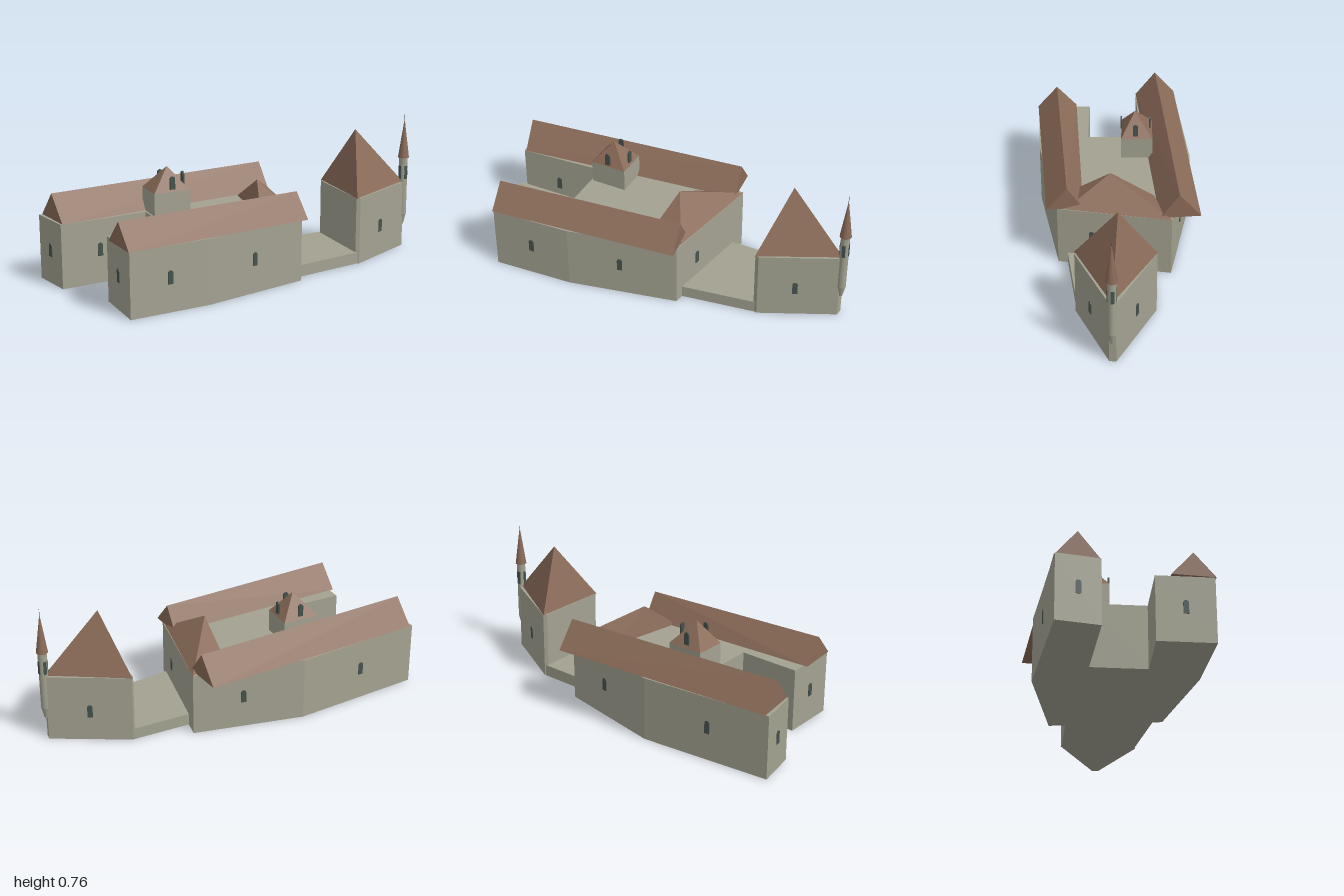
import * as THREE from 'three';
import { ConvexGeometry } from 'three/addons/geometries/ConvexGeometry.js';

const material = (name, color, double) => {
  const m = new THREE.MeshStandardMaterial({ color });
  m.name = name;
  if (double) m.side = THREE.DoubleSide;
  return m;
};

export function createModel() {
  const castle = new THREE.Group();
  castle.name = 'castle';
  const stone = material('stone', 0xa3a291);
  const tile = material('roofTile', 0x8a6b58);
  const glass = material('darkWindow', 0x46534e);

  const add = (name, geometry, mat, x = 0, y = 0, z = 0) => {
    const mesh = new THREE.Mesh(geometry, mat);
    mesh.name = name;
    mesh.position.set(x, y, z);
    castle.add(mesh);
    return mesh;
  };

  // Upright block on a ground plan given as [x, z] corners
  const block = (name, plan, y0, y1) => {
    const shape = new THREE.Shape(plan.map(([x, z]) => new THREE.Vector2(x, -z)));
    const g = new THREE.ExtrudeGeometry(shape, { depth: y1 - y0, bevelEnabled: false });
    g.rotateX(-Math.PI / 2);
    return add(name, g, stone, 0, y0, 0);
  };

  // Roof solid spanning its corner points
  const roof = (name, points) =>
    add(name, new ConvexGeometry(points.map((p) => new THREE.Vector3(...p))), tile);

  const pyramid = (name, plan, eave, apex) =>
    roof(name, [...plan.map(([x, z]) => [x, eave, z]), apex]);

  // Round-headed window plate, base at y = 0
  const windowPlate = (w, h, depth) => {
    const r = w / 2;
    const s = new THREE.Shape();
    s.moveTo(-r, 0);
    s.lineTo(r, 0);
    s.lineTo(r, h - r);
    s.absarc(0, h - r, r, 0, Math.PI, false);
    s.lineTo(-r, 0);
    const g = new THREE.ExtrudeGeometry(s, { depth, bevelEnabled: false, curveSegments: 6 });
    g.translate(0, 0, -depth / 2);
    return g;
  };

  // Window at fraction t along wall a -> b (outside lies to the right)
  const wallWindow = (name, [ax, az], [bx, bz], t, y = 0.15) => {
    const m = add(name, windowPlate(0.028, 0.072, 0.008), glass,
      ax + (bx - ax) * t, y, az + (bz - az) * t);
    m.rotation.y = Math.atan2(az - bz, bx - ax);
  };

  // Main body: two wings round a raised terrace
  const body = [
    [-0.92, 0.375], [-0.48, 0.415], [0.12, 0.38], [0.31, -0.21], [-0.27, -0.41],
    [-1.0, -0.438], [-0.99, -0.21], [-0.51, -0.165], [-0.55, 0.13], [-0.88, 0.08],
  ];
  block('mainWalls', body, 0, 0.352);

  // Wing windows: [wall index, fraction along it]
  [[0, 0.5], [1, 0.48], [2, 0.3], [3, 0.45], [4, 0.52], [5, 0.5], [6, 0.45], [9, 0.5]]
    .forEach(([i, t]) => wallWindow('wingWindow', body[i], body[(i + 1) % body.length], t));

  // Gabled wing roofs
  roof('backWingRoof', [
    [-0.98, 0.352, -0.44], [-0.98, 0.352, -0.21], [-0.98, 0.492, -0.325],
    [0.29, 0.352, -0.37], [0.28, 0.352, -0.15], [0.285, 0.492, -0.253],
  ]);
  roof('frontWingRoof', [
    [-0.925, 0.352, 0.38], [-0.912, 0.352, 0.155], [-0.918, 0.48, 0.267],
    [0.118, 0.352, 0.437], [0.13, 0.352, 0.24], [0.124, 0.48, 0.325],
  ]);

  // Lopsided roof over the linking range
  pyramid('linkRoof', [[0.07, -0.15], [0.31, -0.21], [0.13, 0.335], [-0.055, 0.255]],
    0.352, [0.04, 0.5, 0.08]);

  // Small square tower on the terrace
  const small = [[-0.515, -0.06], [-0.315, -0.027], [-0.29, -0.2], [-0.49, -0.228]];
  block('smallTowerWalls', small, 0.34, 0.475);
  pyramid('smallTowerRoof', small, 0.475, [-0.403, 0.598, -0.118]);
  [[-0.415, -0.042, -0.16], [-0.312, -0.108, Math.PI / 2 - 0.13], [-0.395, -0.202, Math.PI - 0.16]]
    .forEach(([x, z, turn]) => {
      const m = add('dormerWindow', windowPlate(0.028, 0.07, 0.009), glass, x, 0.49, z);
      m.rotation.y = turn;
    });

  // Low forecourt between body and keep
  block('forecourt', [[0.13, 0.33], [0.54, 0.33], [0.6, -0.08], [0.275, -0.125]], 0, 0.065);

  // Three-sided keep with clipped corners
  const keep = [
    [0.53, 0.325], [0.55, 0.336], [0.958, 0.215], [0.968, 0.18], [0.605, -0.083], [0.588, -0.07],
  ];
  block('keepWalls', keep, 0, 0.375);
  pyramid('keepRoof', [[0.528, 0.335], [0.965, 0.2], [0.6, -0.087]], 0.372, [0.67, 0.702, 0.128]);
  wallWindow('keepWindow', keep[1], keep[2], 0.46, 0.138);
  wallWindow('keepWindow', keep[3], keep[4], 0.5, 0.138);

  // Corner turret with tapered foot
  const tx = 0.965, tz = 0.2;
  const cyl = (name, rTop, rBottom, y0, y1, mat) =>
    add(name, new THREE.CylinderGeometry(rTop, rBottom, y1 - y0, 16), mat, tx, (y0 + y1) / 2, tz);
  cyl('turretFoot', 0.024, 0.01, 0.125, 0.187, stone);
  cyl('turretShaft', 0.024, 0.024, 0.187, 0.517, stone);
  cyl('turretRoof', 0.001, 0.031, 0.515, 0.73, tile);
  cyl('turretSpike', 0.0006, 0.0015, 0.72, 0.765, glass);
  for (let i = 0; i < 4; i++) {
    const a = (i * Math.PI) / 2;
    const m = add('turretWindow', new THREE.BoxGeometry(0.018, 0.075, 0.008), glass,
      tx + Math.sin(a) * 0.021, 0.43, tz + Math.cos(a) * 0.021);
    m.rotation.y = a;
  }

  return castle;
}
